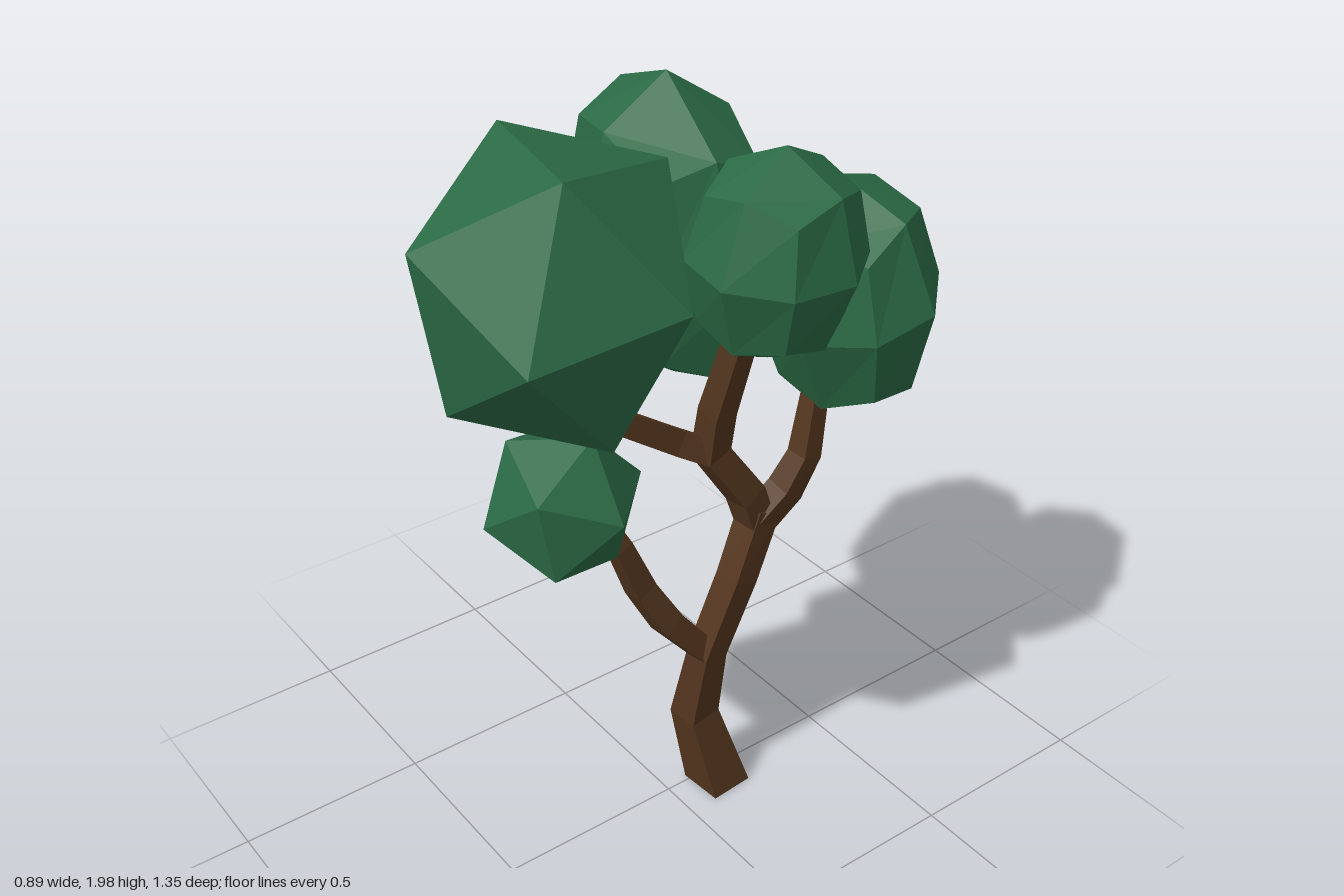
import * as THREE from 'three';

const bark = new THREE.MeshStandardMaterial({ color: 0x54361f, flatShading: true });
const leaf = new THREE.MeshStandardMaterial({ color: 0x2b6a45, flatShading: true });

// Square tapering limb through points [x, y, z, half width]
function limb(name, pts) {
  const rows = pts.length - 1;
  const pos = pts.map(([x, y, z]) => new THREE.Vector3(x, y, z));
  const up = new THREE.Vector3(0, 1, 0);
  const turns = pos.map((p, i) => {
    const dir = pos[Math.min(i + 1, rows)].clone().sub(pos[Math.max(i - 1, 0)]).normalize();
    // A limb that starts on the ground has a level foot
    if (p.y === 0) dir.copy(up);
    return new THREE.Quaternion().setFromUnitVectors(up, dir);
  });
  const geo = new THREE.CylinderGeometry(Math.SQRT2, Math.SQRT2, 1, 4, rows, false, Math.PI / 4 + 0.08);
  const attr = geo.attributes.position;
  const v = new THREE.Vector3();
  for (let i = 0; i < attr.count; i++) {
    v.fromBufferAttribute(attr, i);
    const row = Math.round((v.y + 0.5) * rows);
    v.y = 0;
    v.multiplyScalar(pts[row][3]).applyQuaternion(turns[row]).add(pos[row]);
    attr.setXYZ(i, v.x, v.y, v.z);
  }
  geo.computeVertexNormals();
  const mesh = new THREE.Mesh(geo, bark);
  mesh.name = name;
  return mesh;
}

// Twenty-sided clump, turned so that two neighbouring corners point along a and b
function facetedClump(name, center, radius, height, a, b) {
  const va = new THREE.Vector3(...a).normalize();
  const vb = new THREE.Vector3(...b).normalize();
  const y = va.clone().add(vb).normalize();
  const x = vb.clone().sub(va).normalize();
  const z = x.clone().cross(y);
  const geo = new THREE.IcosahedronGeometry(1, 0);
  geo.applyMatrix4(new THREE.Matrix4().makeBasis(x, y, z));
  geo.scale(radius, height, radius);
  const mesh = new THREE.Mesh(geo, leaf);
  mesh.position.set(...center);
  mesh.name = name;
  return mesh;
}

// Oval clump: a subdivided cube rounded to a ball, turned, stretched and tilted
function ovalClump(name, center, radii, tilt, [turnX, turnY, turnZ]) {
  const geo = new THREE.BoxGeometry(1, 1, 1, 2, 2, 2);
  const attr = geo.attributes.position;
  const v = new THREE.Vector3();
  for (let i = 0; i < attr.count; i++) {
    v.fromBufferAttribute(attr, i).normalize();
    attr.setXYZ(i, v.x, v.y, v.z);
  }
  geo.rotateY(turnY).rotateX(turnX).rotateZ(turnZ);
  geo.scale(...radii);
  geo.computeVertexNormals();
  const mesh = new THREE.Mesh(geo, leaf);
  mesh.rotation.set(...tilt);
  mesh.position.set(...center);
  mesh.name = name;
  return mesh;
}

export function createModel() {
  const tree = new THREE.Group();
  tree.name = 'tree';

  // Trunk and branches
  tree.add(
    limb('trunk', [
      [0.04, 0, -0.135, 0.061], [0.01, 0.25, -0.078, 0.045], [0.048, 0.47, -0.088, 0.036],
      [0.065, 0.68, -0.165, 0.037], [0.06, 0.86, -0.238, 0.038],
    ]),
    limb('lowerFrontBranch', [
      [0.045, 0.46, -0.09, 0.03], [0.025, 0.6, 0.025, 0.033], [0.005, 0.72, 0.09, 0.03],
      [0, 0.87, 0.15, 0.025], [-0.02, 0.97, 0.2, 0.022],
    ]),
    limb('backBranch', [
      [0.06, 0.82, -0.225, 0.035], [0.08, 0.9, -0.3, 0.034], [0.09, 0.99, -0.35, 0.03],
      [0.085, 1.16, -0.38, 0.024],
    ]),
    limb('middleBranch', [
      [0.06, 0.82, -0.225, 0.036], [0.06, 0.92, -0.19, 0.037], [0.045, 1.07, -0.09, 0.036],
      [0.075, 1.2, -0.085, 0.033], [0.15, 1.44, -0.095, 0.028],
    ]),
    limb('upperFrontBranch', [
      [0.045, 1.06, -0.1, 0.033], [0.02, 1.12, 0, 0.031], [0.01, 1.23, 0.16, 0.028],
      [0.02, 1.42, 0.38, 0.024],
    ]),
  );

  // Foliage
  tree.add(
    facetedClump('frontFoliage', [0.127, 1.678, 0.382], 0.332, 0.364, [-0.06, 0.127, 0.295], [0.165, 0.29, 0.085]),
    facetedClump('lowerFoliage', [-0.06, 1.016, 0.265], 0.198, 0.207, [0.19, 0.005, -0.035], [0.06, 0.178, -0.04]),
    ovalClump('rightFoliage', [-0.18, 1.555, -0.138], [0.26, 0.39, 0.24], [0, 0, 0.28], [0, -0.05, -0.35]),
    ovalClump('backFoliage', [0.08, 1.39, -0.47], [0.242, 0.32, 0.215], [0.06, 0, 0], [0.12, 0.3, 0]),
    ovalClump('leftFoliage', [0.21, 1.635, -0.133], [0.2, 0.26, 0.21], [0, 0, -0.08], [0, 0.3, 0]),
  );
  return tree;
}
